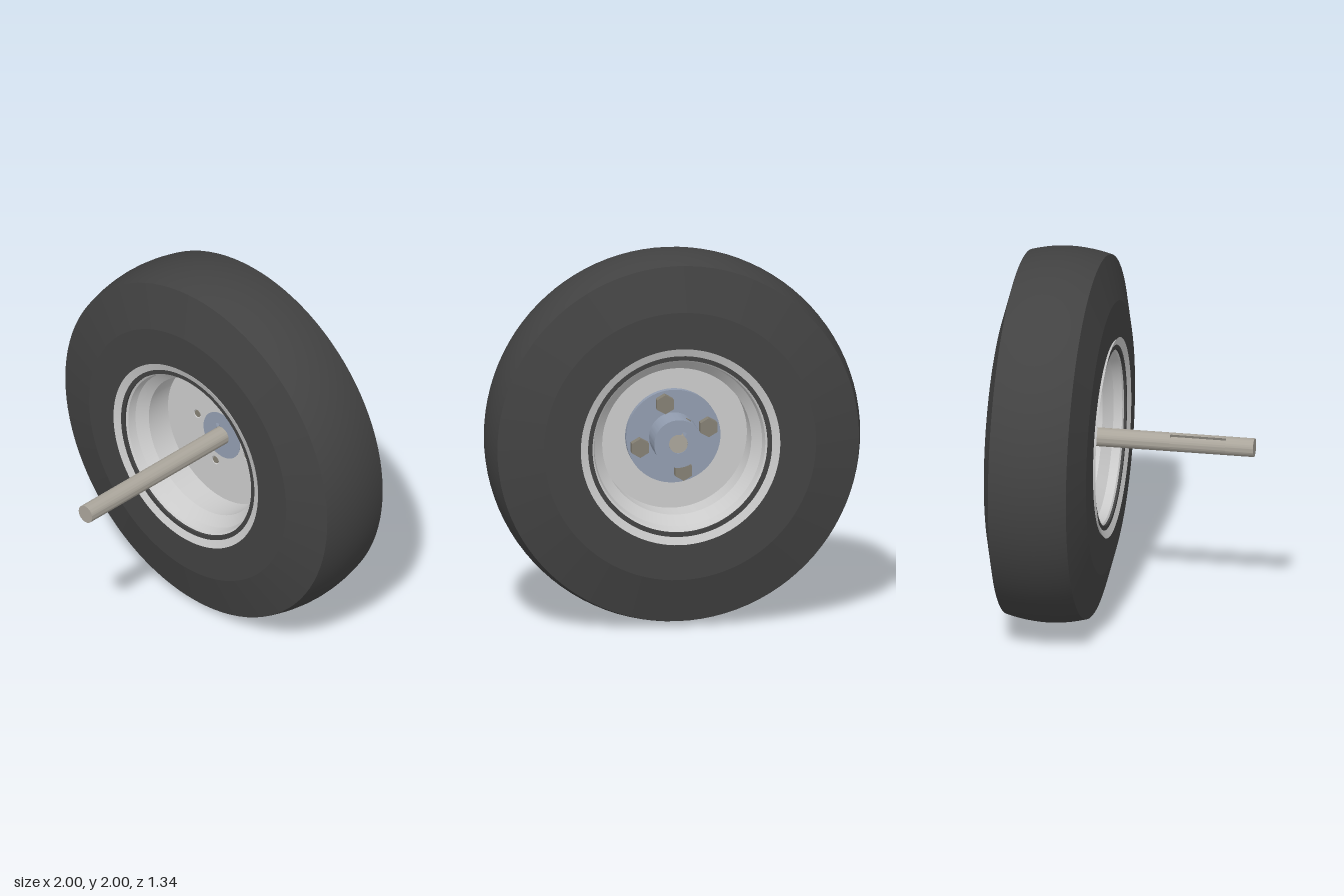
import * as THREE from 'three';
import { toCreasedNormals } from 'three/addons/utils/BufferGeometryUtils.js';

const paint = (color) => new THREE.MeshStandardMaterial({ color });

// Closed [radius, z] profile turned around the z axle (outer side runs towards +z)
function turned(profile, segments = 96) {
  const points = profile.map(([r, z]) => new THREE.Vector2(r, z));
  points.push(points[0].clone());
  return toCreasedNormals(new THREE.LatheGeometry(points, segments).rotateX(Math.PI / 2), 0.2);
}

// Shape extruded from z0 to z1
function extruded(shape, z0, z1) {
  const geometry = new THREE.ExtrudeGeometry(shape, { depth: z1 - z0, bevelEnabled: false, curveSegments: 48 });
  return toCreasedNormals(geometry.translate(0, 0, z0), 0.4);
}

function circle(r, x = 0, y = 0, Type = THREE.Shape) {
  return new Type().absarc(x, y, r, 0, Math.PI * 2, false);
}

// Circle with a rectangular key slot; depth < 0 cuts inwards, > 0 outwards
function keyed(r, depth, Type = THREE.Shape) {
  const half = 0.011, a = Math.asin(half / r), key = Math.PI * 2 / 3;
  const out = new Type().absarc(0, 0, r, key + a, key - a + Math.PI * 2, false);
  for (const s of [-half, half]) {
    const d = r + depth;
    out.lineTo(d * Math.cos(key) + s * Math.sin(key) * -1, d * Math.sin(key) + s * Math.cos(key));
  }
  out.closePath();
  return out;
}

export function createModel() {
  const root = new THREE.Group();
  root.name = 'wheelOnAxle';
  root.position.y = 1;
  const model = new THREE.Group();
  model.add(root);

  const rubber = paint(0x424242), steel = paint(0xc8c8c8), hubPaint = paint(0x929db0);
  const shaftPaint = paint(0xaaa59b), boltPaint = paint(0x858074);

  const add = (name, geometry, material, parent = root) => {
    const mesh = new THREE.Mesh(geometry, material);
    mesh.name = name;
    parent.add(mesh);
    return mesh;
  };

  const middle = -0.38;

  // Tyre: domed tread, bevelled shoulders, flat side walls
  const tyre = [[0.47, middle - 0.275], [0.73, middle - 0.275]];
  for (let i = 0; i <= 12; i++) {
    const t = i / 6 - 1;
    tyre.push([1 - 0.03 * t * t, middle + 0.21 * t]);
  }
  tyre.push([0.73, middle + 0.275], [0.47, middle + 0.275]);
  add('tyre', turned(tyre), rubber);

  // Rim: flared lips, bead seats and a narrower well, the same on both sides
  const half = [[0.40, 0.16], [0.45, 0.21], [0.46, 0.255], [0.48, 0.27], [0.535, 0.29], [0.52, 0.273], [0.48, 0.255], [0.47, 0.2], [0.42, 0.15]];
  const rim = [
    ...half.map(([r, z]) => [r, middle - z]),
    ...half.slice().reverse().map(([r, z]) => [r, middle + z]),
  ];
  add('rim', turned(rim), steel);

  // Bolt circle
  const bolts = [0, 1, 2, 3].map((i) => {
    const a = THREE.MathUtils.degToRad(75 + i * 90);
    return [0.19 * Math.cos(a), 0.19 * Math.sin(a)];
  });

  // Wheel disc with hub and bolt holes
  const disc = circle(0.41);
  disc.holes.push(circle(0.135, 0, 0, THREE.Path), ...bolts.map(([x, y]) => circle(0.025, x, y, THREE.Path)));
  add('wheelDisc', extruded(disc, -0.39, -0.365), steel);

  // Hub: front spigot, bolted flange and rear barrel, all with a keyed bore
  const hub = new THREE.Group();
  hub.name = 'hub';
  root.add(hub);
  for (const [name, r, z0, z1] of [
    ['hubSpigot', 0.135, -0.39, -0.363],
    ['hubFlange', 0.253, -0.425, -0.39],
    ['hubBarrel', 0.13, -0.6, -0.425],
  ]) {
    const shape = circle(r);
    shape.holes.push(keyed(0.0505, 0.02, THREE.Path));
    add(name, extruded(shape, z0, z1), hubPaint, hub);
  }

  // Set screw in the barrel, in line with the key slot
  const screw = add('setScrew', new THREE.CylinderGeometry(0.015, 0.015, 0.02, 20), boltPaint, hub);
  const key = Math.PI * 2 / 3;
  screw.position.set(0.122 * Math.cos(key), 0.122 * Math.sin(key), -0.53);
  screw.rotation.z = key - Math.PI / 2;

  // Bolts: shank through the disc, hexagonal head at the back
  for (const [x, y] of bolts) {
    const bolt = new THREE.Group();
    bolt.name = 'bolt';
    bolt.position.set(x, y, 0);
    root.add(bolt);
    add('boltShank', turned([[0, -0.43], [0.019, -0.43], [0.019, -0.366], [0, -0.366]], 48), boltPaint, bolt);
    const head = new THREE.CylinderGeometry(0.052, 0.052, 0.045, 6).rotateX(Math.PI / 2);
    add('boltHead', toCreasedNormals(head, 0.4).translate(0, 0, -0.447), boltPaint, bolt);
  }

  // Axle shaft with a key slot part way along
  const shaft = new THREE.Group();
  shaft.name = 'shaft';
  root.add(shaft);
  add('shaftInner', extruded(circle(0.05), -0.597, 0.22), shaftPaint, shaft);
  add('shaftKeyway', extruded(keyed(0.05, -0.02), 0.22, 0.52), shaftPaint, shaft);
  add('shaftTip', extruded(circle(0.05), 0.52, 0.67), shaftPaint, shaft);

  return model;
}
